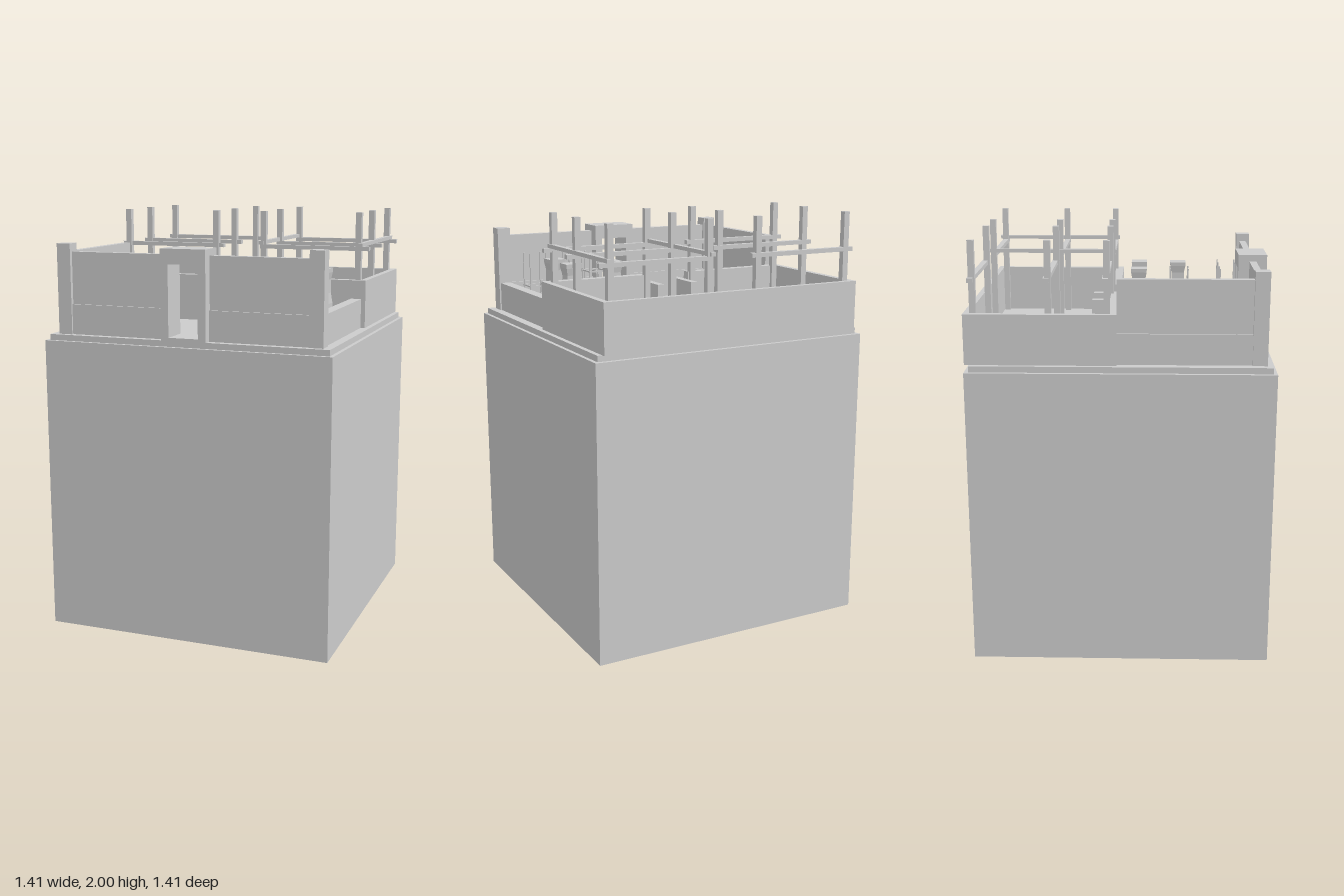
import * as THREE from 'three';

const mat = new THREE.MeshStandardMaterial({ color: 0xcccccc, flatShading: true });
const openMat = new THREE.MeshStandardMaterial({ color: 0xcccccc, flatShading: true, side: THREE.DoubleSide });

export function createModel() {
  const root = new THREE.Group();

  const add = (name, geometry, material = mat, parent = root) => {
    const mesh = new THREE.Mesh(geometry, material);
    mesh.name = name;
    parent.add(mesh);
    return mesh;
  };
  // Box given by its limits on each axis
  const box = (name, x0, x1, y0, y1, z0, z1, parent = root) => {
    const g = new THREE.BoxGeometry(x1 - x0, y1 - y0, z1 - z0);
    g.translate((x0 + x1) / 2, (y0 + y1) / 2, (z0 + z1) / 2);
    return add(name, g, mat, parent);
  };

  const FLOOR = 1.443;

  // Hollow base block, open underneath
  const base = new THREE.BoxGeometry(1.406, 1.415, 1.408);
  const index = Array.from(base.index.array);
  index.splice(18, 6);
  base.setIndex(index);
  base.clearGroups();
  base.translate(0, 0.7075, 0);
  add('baseBlock', base, openMat);

  // Floor slab, stepped in from the block
  box('floorSlab', -0.685, 0.685, 1.415, FLOOR, -0.684, 0.686);

  // Rear room: low parapet on four sides, open at the inner doorway
  const rearTop = 1.675;
  box('rearWall', -0.662, 0.662, FLOOR, rearTop, -0.706, -0.68);
  for (const s of [-1, 1]) {
    const a = s * 0.662, b = s * 0.632;
    box('rearSideWall', Math.min(a, b), Math.max(a, b), FLOOR, rearTop, -0.68, -0.06);
    const c = s * 0.11;
    box('dividingWall', Math.min(a, c), Math.max(a, c), FLOOR, rearTop, -0.06, -0.018);
  }

  // Inner doorway: two cheek walls on a sill
  box('innerDoorSill', -0.075, 0.075, FLOOR, 1.46, -0.155, 0.07);
  box('innerDoorCheek', -0.11, -0.075, FLOOR, 1.637, -0.155, 0.07);
  box('innerDoorCheek', 0.075, 0.11, FLOOR, 1.637, -0.155, 0.07);

  // Courtyard walls: thick plinth with a thinner panel above
  const plinthTop = 1.585, panelTop = 1.83;
  for (const s of [-1, 1]) {
    const x0 = s < 0 ? -0.62 : 0.105, x1 = s < 0 ? -0.105 : 0.62;
    box('frontPlinth', x0, x1, FLOOR, plinthTop, 0.6, 0.653);
    box('frontPanel', x0, x1, plinthTop, panelTop, 0.61, 0.643);
    const sx = s * 0.615;
    box('sidePlinth', sx - 0.026, sx + 0.026, FLOOR, plinthTop, -0.018, 0.62);
    box('cornerPier', sx - 0.034, sx + 0.034, FLOOR, 1.868, 0.594, 0.662);
  }
  // Only the right side rises to full height
  box('rightPanel', -0.631, -0.599, plinthTop, panelTop, -0.018, 0.62);

  // Front gateway with a door opening
  const gate = new THREE.Shape([[-0.11, FLOOR], [0.11, FLOOR], [0.11, 1.86], [-0.11, 1.86]]
    .map(p => new THREE.Vector2(...p)));
  gate.holes.push(new THREE.Path([[-0.072, 1.458], [-0.072, 1.79], [0.072, 1.79], [0.072, 1.458]]
    .map(p => new THREE.Vector2(...p))));
  const gateGeo = new THREE.ExtrudeGeometry(gate, { depth: 0.138, bevelEnabled: false });
  gateGeo.translate(0, 0, 0.557);
  add('gateway', gateGeo);

  // Timber posts and cross rails over the rear room
  const timber = new THREE.Group();
  timber.name = 'timberFrame';
  root.add(timber);
  const h = 0.0145;
  for (const z of [-0.663, -0.325, -0.062]) {
    for (const x of [-0.617, -0.13, 0.124, 0.613]) {
      box('post', x - h, x + h, FLOOR, 2, z - h, z + h, timber);
    }
    box('crossRail', -0.652, -0.092, 1.815, 1.835, z - 0.02, z + 0.007, timber);
    box('crossRail', 0.107, 0.667, 1.815, 1.835, z - 0.012, z + 0.014, timber);
  }
  for (const x of [0.115, 0.624]) {
    box('longRail', x - 0.012, x + 0.012, 1.835, 1.853, -0.69, -0.04, timber);
  }

  // Square column, slightly waisted below its cap
  const column = (x, z, height) => {
    const d = Math.SQRT2;
    const top = FLOOR + height;
    const profile = [[0, top], [0.041, top], [0.04, top - 0.02], [0.033, top - 0.055],
      [0.033, top - 0.12], [0.04, top - 0.17], [0.04, FLOOR], [0, FLOOR]]
      .reverse().map(([r, y]) => new THREE.Vector2(r * d, y));
    const g = new THREE.LatheGeometry(profile, 4);
    g.rotateY(Math.PI / 4);
    g.translate(x, 0, z);
    add('column', g);
  };
  column(0.25, 0.07, 0.295);
  column(0.47, 0.07, 0.295);
  column(0.47, 0.275, 0.295);

  // Unfinished columns inside light scaffolds of poles and tied rails
  const scaffold = (x, z, stubTop, levels) => {
    const g = new THREE.Group();
    g.name = 'scaffold';
    root.add(g);
    box('columnStub', x - 0.04, x + 0.04, FLOOR, stubTop, z - 0.04, z + 0.04, g);
    const o = 0.045, t = 0.0035;
    for (const sx of [-o, o]) for (const sz of [-o, o]) {
      box('pole', x + sx - t, x + sx + t, FLOOR, 1.74, z + sz - t, z + sz + t, g);
    }
    for (const y of levels) for (const s of [-o, o]) {
      box('rail', x + s - t, x + s + t, y - t, y + t, z - 0.053, z + 0.053, g);
      box('rail', x - 0.05, x + 0.05, y - t, y + t, z + s - t, z + s + t, g);
    }
  };
  scaffold(0.25, 0.278, 1.56, [1.53, 1.665]);
  scaffold(0.25, 0.533, 1.51, [1.5, 1.57]);
  scaffold(0.47, 0.533, 1.51, [1.5, 1.57]);

  return root;
}
